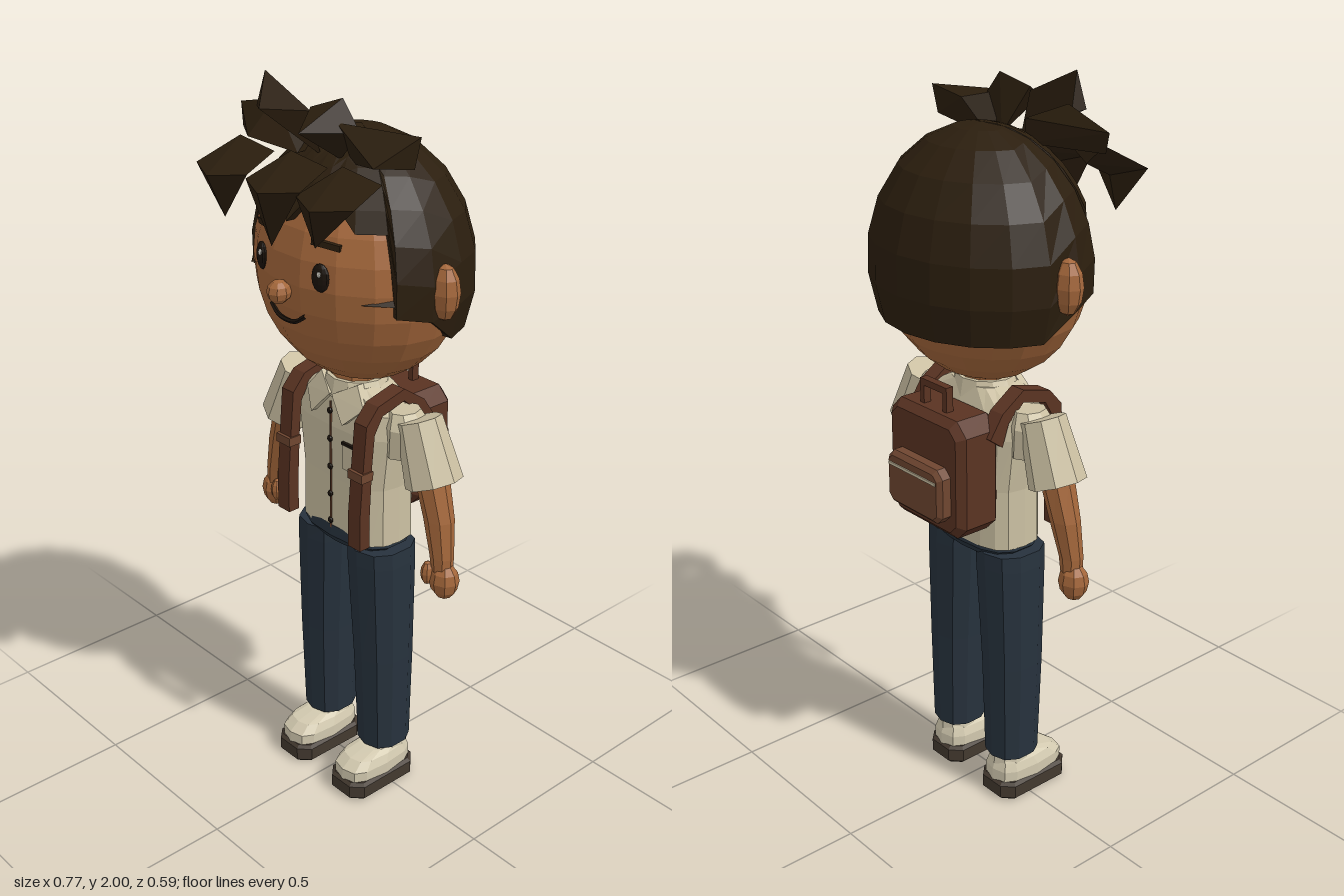
import * as THREE from 'three';
import { ConvexGeometry } from 'three/addons/geometries/ConvexGeometry.js';

const mat = (name, color) => { const m = new THREE.MeshStandardMaterial({ color }); m.name = name; return m; };

export function createModel() {
  const model = new THREE.Group();
  const skin = mat('skin', 0xa4673b), hairMat = mat('hair', 0x2b1e0e), shirt = mat('shirt', 0xcbc0a2);
  const denim = mat('trousers', 0x27323d), shoe = mat('shoe', 0xd3cab0), rubber = mat('sole', 0x43392f);
  const leather = mat('leather', 0x5a3322), tan = mat('pocketLeather', 0x6f4630);
  const dark = mat('dark', 0x1a120b), white = mat('white', 0xe8e4da);

  // Adds a faceted mesh
  function add(name, geo, material, x = 0, y = 0, z = 0) {
    const g = geo.index ? geo.toNonIndexed() : geo;
    g.computeVertexNormals();
    const m = new THREE.Mesh(g, material);
    m.name = name;
    m.position.set(x, y, z);
    model.add(m);
    return m;
  }

  // Skins a stack of closed loops (bottom to top) and caps both ends
  function skinLoops(loops) {
    const n = loops[0].length, pos = [], idx = [];
    loops.forEach(l => l.forEach(p => pos.push(...p)));
    for (let i = 0; i < loops.length - 1; i++) for (let j = 0; j < n; j++) {
      const a = i * n + j, b = i * n + (j + 1) % n;
      idx.push(a, b, b + n, a, b + n, a + n);
    }
    const top = (loops.length - 1) * n;
    for (let j = 1; j < n - 1; j++) idx.push(0, j + 1, j, top, top + j, top + j + 1);
    const g = new THREE.BufferGeometry();
    g.setAttribute('position', new THREE.Float32BufferAttribute(pos, 3));
    g.setIndex(idx);
    return g;
  }

  // Rings are [x, y, z, rx, rz]; e below 1 squares the outline
  const pw = (v, e) => Math.sign(v) * Math.abs(v) ** e;
  const loft = (rings, n = 10, e = 1) => skinLoops(rings.map(([x, y, z, rx, rz]) =>
    Array.from({ length: n }, (_, j) => {
      const a = j / n * Math.PI * 2;
      return [x + rx * pw(Math.sin(a), e), y, z + rz * pw(Math.cos(a), e)];
    })));

  const shard = pts => new ConvexGeometry(pts.map(p => new THREE.Vector3(...p)));
  const ball = (rx, ry, rz, w = 8, h = 6) => new THREE.SphereGeometry(1, w, h).scale(rx, ry, rz);

  // Box with cut corners and chamfered edges
  function chamferBox(w, h, d, k, c) {
    const a = w / 2 - c, b = h / 2 - c;
    const s = new THREE.Shape([[-a + k, -b], [a - k, -b], [a, -b + k], [a, b - k], [a - k, b], [-a + k, b], [-a, b - k], [-a, -b + k]]
      .map(p => new THREE.Vector2(...p)));
    return new THREE.ExtrudeGeometry(s, { depth: d - 2 * c, bevelThickness: c, bevelSize: c, bevelSegments: 1 }).translate(0, 0, c - d / 2);
  }

  // Head and face
  add('head', ball(0.3, 0.305, 0.245, 18, 14), skin, 0, 1.53, -0.025);
  add('nose', ball(0.03, 0.03, 0.032), skin, 0, 1.51, 0.237);
  const smile = new THREE.CatmullRomCurve3([[-0.065, 1.457, 0.208], [-0.035, 1.437, 0.213], [0, 1.431, 0.213], [0.035, 1.437, 0.213], [0.065, 1.457, 0.208]]
    .map(p => new THREE.Vector3(...p)));
  add('mouth', new THREE.TubeGeometry(smile, 12, 0.006, 5), dark);
  for (const s of [-1, 1]) {
    add('eye', ball(0.024, 0.036, 0.012, 12, 8), dark, s * 0.11, 1.565, 0.199).rotation.y = s * 0.35;
    add('eyeGlint', ball(0.006, 0.008, 0.004), white, s * 0.11 + 0.008, 1.578, 0.211);
    add('eyebrow', new THREE.BoxGeometry(0.075, 0.015, 0.012), hairMat, s * 0.115, 1.645, 0.184).rotation.set(0, s * 0.4, -s * 0.12);
    add('ear', ball(0.042, 0.072, 0.035), skin, s * 0.308, 1.53, -0.02);
    add('sideburnWisp', shard([[s * 0.29, 1.53, 0.05], [s * 0.29, 1.5, 0.05], [s * 0.27, 1.51, 0.1], [s * 0.205, 1.512, 0.16], [s * 0.25, 1.5, 0.05]]), hairMat);
  }
  add('neck', loft([[0, 1.15, -0.015, 0.075, 0.068], [0, 1.28, -0.015, 0.068, 0.065]]), skin);

  // Hair cap: lower edge height by angle from the front
  const edge = [[0, 1.68], [10, 1.74], [20, 1.67], [30, 1.73], [40, 1.68], [57, 1.68], [60, 1.48], [80, 1.46], [100, 1.39], [120, 1.39], [140, 1.39], [160, 1.39], [180, 1.39]];
  const around = [...edge, ...edge.slice(1, -1).reverse().map(([a, y]) => [360 - a, y])];
  const capLoop = (t, shrink = 1) => around.map(([deg, low]) => {
    const a = deg * Math.PI / 180, th = Math.acos((low - 1.53) / 0.345) * (1 - t), r = Math.sin(th) * shrink;
    return [0.315 * r * Math.sin(a), 1.53 + 0.345 * Math.cos(th), -0.03 + 0.267 * r * Math.cos(a)];
  });
  add('hairCap', skinLoops([capLoop(0, 0.8), ...[0, 0.15, 0.3, 0.45, 0.6, 0.75, 0.88, 0.999].map(t => capLoop(t))]), hairMat);

  // Fringe locks: forward from the cap, then bent down to a tip
  for (const [x, tx, ty] of [[-0.195, -0.2, 1.65], [0, -0.02, 1.62], [0.185, 0.14, 1.655]]) {
    const bend = [[x - 0.1, 1.77, 0.25], [x + 0.1, 1.78, 0.25], [x, 1.765, 0.295], [x, 1.74, 0.22]];
    add('fringeRoot', shard([...bend, [x - 0.05, 1.83, 0.15], [x + 0.095, 1.82, 0.16], [x, 1.78, 0.14]]), hairMat);
    add('fringeTip', shard([...bend, [tx, ty, 0.24]]), hairMat);
  }

  // Crown tufts
  [
    [[-0.335, 1.885, 0.075], [-0.31, 1.83, 0.09], [-0.06, 1.82, 0.06], [-0.06, 1.88, 0.06], [-0.19, 1.84, 0.17], [-0.17, 1.925, 0.1], [-0.05, 1.82, 0.13]],
    [[-0.16, 2, 0.135], [-0.19, 1.91, 0.14], [-0.17, 1.9, 0.11], [0, 1.82, 0.1], [0, 1.93, 0.13], [-0.08, 1.935, 0.22]],
    [[0.08, 1.97, 0.1], [0, 1.94, 0.13], [0.14, 1.9, 0.1], [0.05, 1.9, 0.21], [0.06, 1.82, 0.09]],
    [[0.3, 1.915, 0.06], [0.29, 1.84, 0.07], [0.25, 1.85, 0.16], [0.17, 1.9, 0.05], [0.09, 1.92, 0.13], [0.08, 1.81, 0.07]],
  ].forEach(p => add('crownTuft', shard(p), hairMat));

  // Shirt
  add('shirtBody', loft([[0, 0.785, -0.02, 0.165, 0.095], [0, 0.95, -0.02, 0.163, 0.093], [0, 1.1, -0.02, 0.183, 0.095],
    [0, 1.165, -0.02, 0.178, 0.085], [0, 1.215, -0.015, 0.085, 0.072]], 16, 0.65), shirt);
  add('collarBand', loft([[0, 1.18, -0.015, 0.11, 0.085], [0, 1.228, -0.015, 0.082, 0.076]], 12), shirt);
  for (const s of [-1, 1]) {
    const flap = [[0.004, 1.19, 0.075], [0.07, 1.228, 0.045], [0.11, 1.175, 0.06], [0.06, 1.125, 0.09]];
    add('collarFlap', shard(flap.flatMap(([x, y, z]) => [[s * x, y, z], [s * x, y, z - 0.02]])), shirt);
  }
  add('placket', new THREE.BoxGeometry(0.005, 0.38, 0.004), tan, 0, 0.98, 0.075);
  for (let i = 0; i < 5; i++) add('button', ball(0.009, 0.009, 0.006), dark, 0, 0.82 + i * 0.081, 0.078);
  add('chestPocket', new THREE.BoxGeometry(0.065, 0.075, 0.009), shirt, 0.08, 1.03, 0.073);
  add('pocketTrim', new THREE.BoxGeometry(0.067, 0.008, 0.009), dark, 0.08, 1.067, 0.075);

  // Trousers waist
  add('hips', loft([[0, 0.75, -0.018, 0.13, 0.08], [0, 0.775, -0.018, 0.162, 0.098], [0, 0.805, -0.018, 0.16, 0.094]], 14, 0.75), denim);

  // Limbs and straps, mirrored
  for (const s of [-1, 1]) {
    add('leg', loft([[s * 0.114, 0.13, -0.018, 0.066, 0.073], [s * 0.112, 0.42, -0.016, 0.074, 0.081],
      [s * 0.102, 0.72, -0.015, 0.084, 0.09], [s * 0.1, 0.765, -0.015, 0.083, 0.09]], 10, 0.85), denim);
    add('sock', loft([[s * 0.115, 0.1, -0.025, 0.054, 0.058], [s * 0.115, 0.14, -0.025, 0.05, 0.055]]), shoe);
    add('shoeUpper', loft([[s * 0.115, 0.045, 0.026, 0.063, 0.115], [s * 0.115, 0.085, 0.026, 0.064, 0.114],
      [s * 0.115, 0.108, 0.015, 0.055, 0.095], [s * 0.115, 0.12, -0.01, 0.045, 0.065]], 12, 0.65), shoe);
    add('shoeSole', chamferBox(0.135, 0.238, 0.055, 0.025, 0.009).rotateX(-Math.PI / 2), rubber, s * 0.115, 0.0275, 0.027);

    add('sleeve', new THREE.CylinderGeometry(0.06, 0.076, 0.17, 8), shirt, s * 0.258, 1.09, -0.022).rotation.z = s * 0.36;
    add('shoulder', loft([[s * 0.185, 1.06, -0.02, 0.045, 0.06], [s * 0.19, 1.14, -0.02, 0.06, 0.062], [s * 0.18, 1.18, -0.02, 0.035, 0.045]], 8), shirt);
    add('arm', loft([[s * 0.335, 0.77, -0.012, 0.028, 0.028], [s * 0.332, 0.82, -0.012, 0.033, 0.03],
      [s * 0.312, 0.92, -0.018, 0.043, 0.038], [s * 0.28, 1.03, -0.02, 0.046, 0.045]], 8), skin);
    add('hand', ball(0.042, 0.052, 0.038), skin, s * 0.343, 0.752, -0.012);
    add('thumb', ball(0.018, 0.034, 0.02), skin, s * 0.306, 0.768, 0.012);

    // Strap band: side outline drawn as (z, y), extruded across its width
    const band = [[0.122, 0.81], [0.122, 0.9], [0.11, 1.05], [0.1, 1.16], [0.06, 1.205], [-0.03, 1.228], [-0.1, 1.18], [-0.14, 1.12],
      [-0.1, 1.09], [-0.08, 1.15], [-0.03, 1.195], [0.045, 1.175], [0.072, 1.13], [0.08, 1.05], [0.088, 0.9], [0.088, 0.81]];
    add('strap', new THREE.ExtrudeGeometry(new THREE.Shape(band.map(p => new THREE.Vector2(...p))),
      { depth: 0.046, bevelEnabled: false }).translate(0, 0, -0.023).rotateY(-Math.PI / 2), leather, s * 0.143);
    add('strapBuckle', new THREE.BoxGeometry(0.054, 0.025, 0.04), tan, s * 0.143, 1.02, 0.1);
  }

  // Backpack
  add('backpack', chamferBox(0.3, 0.325, 0.135, 0.025, 0.02), leather, 0, 1.01, -0.157);
  add('backpackPocket', chamferBox(0.22, 0.15, 0.06, 0.015, 0.012), tan, 0, 0.97, -0.232);
  add('pocketSeam', new THREE.BoxGeometry(0.19, 0.008, 0.006), shirt, 0, 1.01, -0.262);
  for (const s of [-1, 1]) add('handlePost', new THREE.BoxGeometry(0.016, 0.07, 0.022), leather, s * 0.045, 1.19, -0.178);
  add('handleBar', new THREE.BoxGeometry(0.106, 0.018, 0.022), leather, 0, 1.23, -0.178);

  return model;
}
